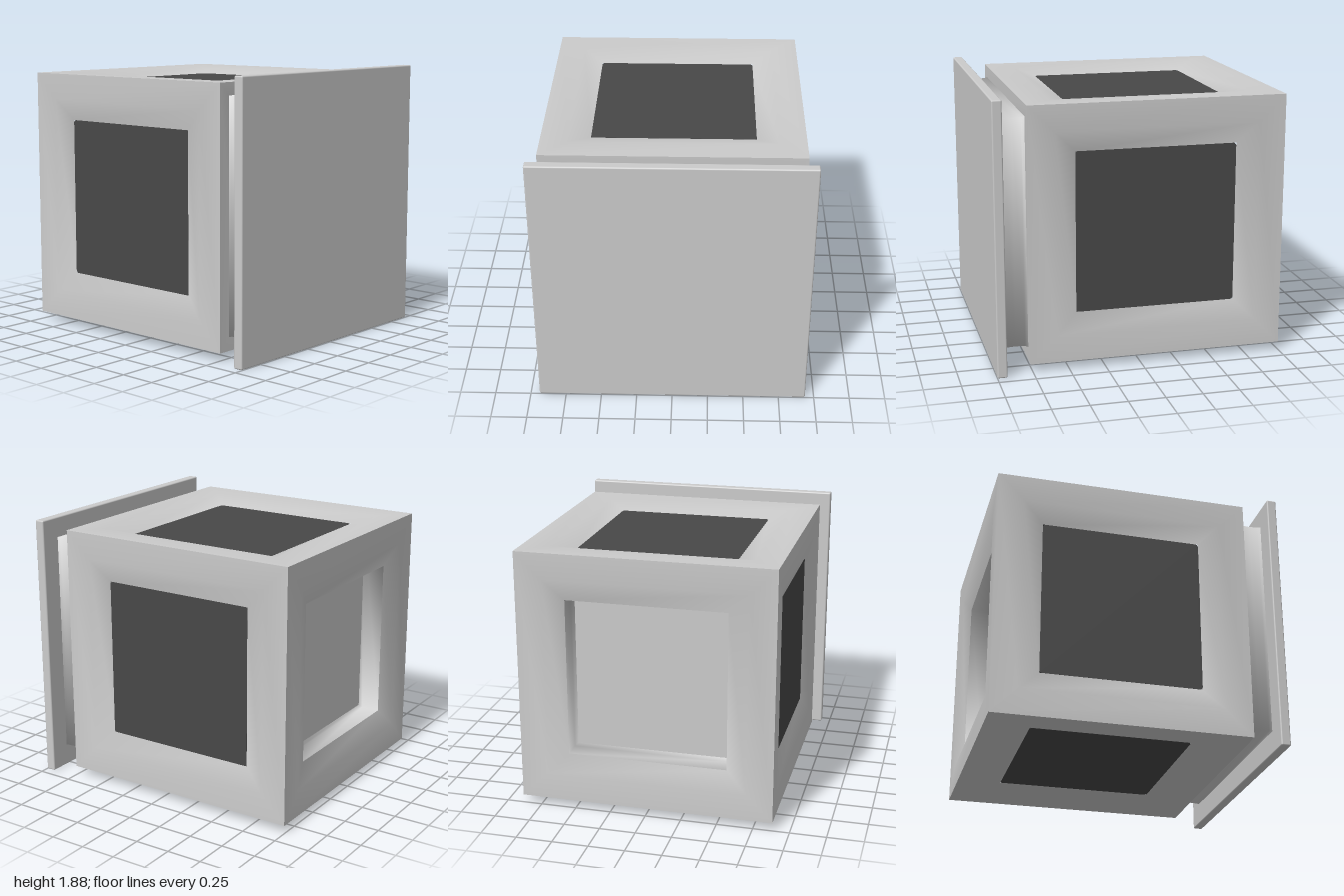
import * as THREE from 'three';
import { RoundedBoxGeometry } from 'three/addons/geometries/RoundedBoxGeometry.js';

const HALF = 0.883;      // half size of the cube body
const OPENING = 0.555;   // half size of each window
const RIM = 0.83;        // distance of the window rim from the cube centre
const FLOOR = 0.68;      // distance of the recess floor from the cube centre

const grey = new THREE.MeshStandardMaterial({ color: 0xcccccc });
const dark = new THREE.MeshStandardMaterial({ color: 0x484848 });

// Joins square rings [half size, z] into one smooth surface
function squareLoft(rings) {
  const positions = [], index = [];
  rings.forEach(([h, z], r) => {
    positions.push(-h, -h, z, h, -h, z, h, h, z, -h, h, z);
    if (r === 0) return;
    for (let k = 0; k < 4; k++) {
      const a = (r - 1) * 4 + k, b = (r - 1) * 4 + (k + 1) % 4;
      index.push(a, b, b + 4, a, b + 4, a + 4);
    }
  });
  const g = new THREE.BufferGeometry();
  g.setAttribute('position', new THREE.Float32BufferAttribute(positions, 3));
  g.setIndex(index);
  g.computeVertexNormals();
  return g;
}

// Thin square panel with slightly rounded corners
function panelGeometry() {
  const h = OPENING, r = 0.02, s = new THREE.Shape();
  s.absarc(h - r, h - r, r, 0, Math.PI / 2);
  s.absarc(-h + r, h - r, r, Math.PI / 2, Math.PI);
  s.absarc(-h + r, -h + r, r, Math.PI, Math.PI * 1.5);
  s.absarc(h - r, -h + r, r, Math.PI * 1.5, Math.PI * 2);
  return new THREE.ExtrudeGeometry(s, { depth: 0.03, bevelEnabled: false, curveSegments: 4 });
}

function addMesh(parent, name, geometry, material, z = 0) {
  const mesh = new THREE.Mesh(geometry, material);
  mesh.name = name;
  mesh.position.z = z;
  parent.add(mesh);
  return mesh;
}

export function createModel() {
  const model = new THREE.Group();
  model.name = 'cubeWithPlate';

  // Cube body: six framed faces around a common centre
  const body = new THREE.Group();
  body.name = 'cubeBody';
  body.position.set(0, 0.94, -0.117);
  model.add(body);

  const frame = squareLoft([[HALF, HALF], [0.7, HALF - 0.003], [OPENING, RIM]]);
  const wall = squareLoft([[OPENING, RIM], [OPENING, FLOOR + 0.02], [OPENING - 0.02, FLOOR]]);
  const panel = panelGeometry();
  const floor = new THREE.PlaneGeometry(2 * OPENING - 0.04, 2 * OPENING - 0.04);

  const q = Math.PI / 2;
  const sides = [
    ['front', 0, 0, false], ['back', 0, Math.PI, false],
    ['left', 0, q, true], ['right', 0, -q, true],
    ['top', -q, 0, true], ['bottom', q, 0, true],
  ];
  for (const [name, rx, ry, hasPanel] of sides) {
    const side = new THREE.Group();
    side.name = name + 'Side';
    side.rotation.set(rx, ry, 0);
    body.add(side);
    addMesh(side, name + 'Frame', frame, grey);
    if (hasPanel) {
      addMesh(side, name + 'Panel', panel, dark, RIM - 0.029);
    } else {
      addMesh(side, name + 'RecessWall', wall, grey);
      addMesh(side, name + 'RecessFloor', floor, grey, FLOOR);
    }
  }

  // Slightly waisted neck between cube and plate
  const neck = addMesh(model, 'neck',
    squareLoft([[0.797, 0.755], [0.787, 0.785], [0.785, 0.85], [0.787, 0.91], [0.79, 0.935]]), grey);
  neck.position.y = 0.943;

  // Front plate
  const plate = addMesh(model, 'frontPlate',
    new RoundedBoxGeometry(1.876, 1.876, 0.068, 2, 0.01), grey, 0.966);
  plate.position.y = 0.938;

  return model;
}
